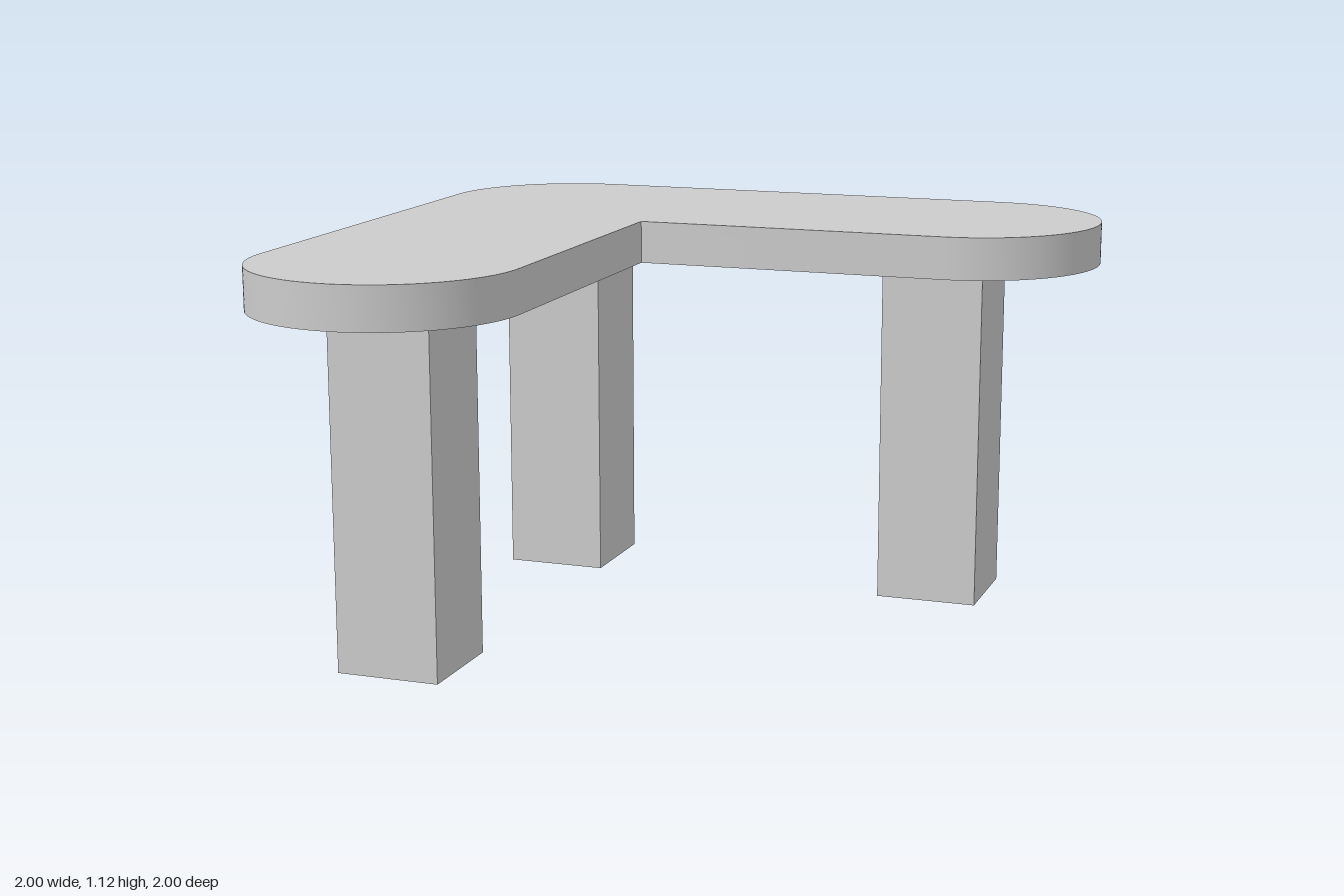
import * as THREE from 'three';
import { toCreasedNormals } from 'three/addons/utils/BufferGeometryUtils.js';

export function createModel() {
  const group = new THREE.Group();
  const material = new THREE.MeshStandardMaterial({ color: 0xcccccc });
  const legHeight = 1, thickness = 0.12, legWidth = 0.294;
  const r = 0.372, c = 1 - r; // half the arm width, centre of the rounded ends

  // L-shaped top with rounded ends and outer corner, sharp inner corner
  const outline = new THREE.Shape();
  outline.moveTo(-1, -c);
  outline.absarc(-c, -c, r, Math.PI, 2 * Math.PI);
  outline.lineTo(r - c, c - r);
  outline.absarc(c, c, r, -Math.PI / 2, Math.PI / 2);
  outline.absarc(-c, c, r, Math.PI / 2, Math.PI);
  outline.closePath();
  const slab = new THREE.ExtrudeGeometry(outline, {
    depth: thickness, bevelEnabled: false, curveSegments: 40,
  });
  slab.rotateX(-Math.PI / 2);
  const top = new THREE.Mesh(toCreasedNormals(slab, Math.PI / 6), material);
  top.name = 'tableTop';
  top.position.y = legHeight;
  group.add(top);

  // Square legs: one at the corner, one near the end of each arm
  const legGeometry = new THREE.BoxGeometry(legWidth, legHeight, legWidth);
  const legs = { cornerLeg: [-c, -c], leftLeg: [0.55, -c], frontLeg: [-c, 0.55] };
  for (const [name, [x, z]] of Object.entries(legs)) {
    const leg = new THREE.Mesh(legGeometry, material);
    leg.name = name;
    leg.position.set(x, legHeight / 2, z);
    group.add(leg);
  }
  return group;
}
